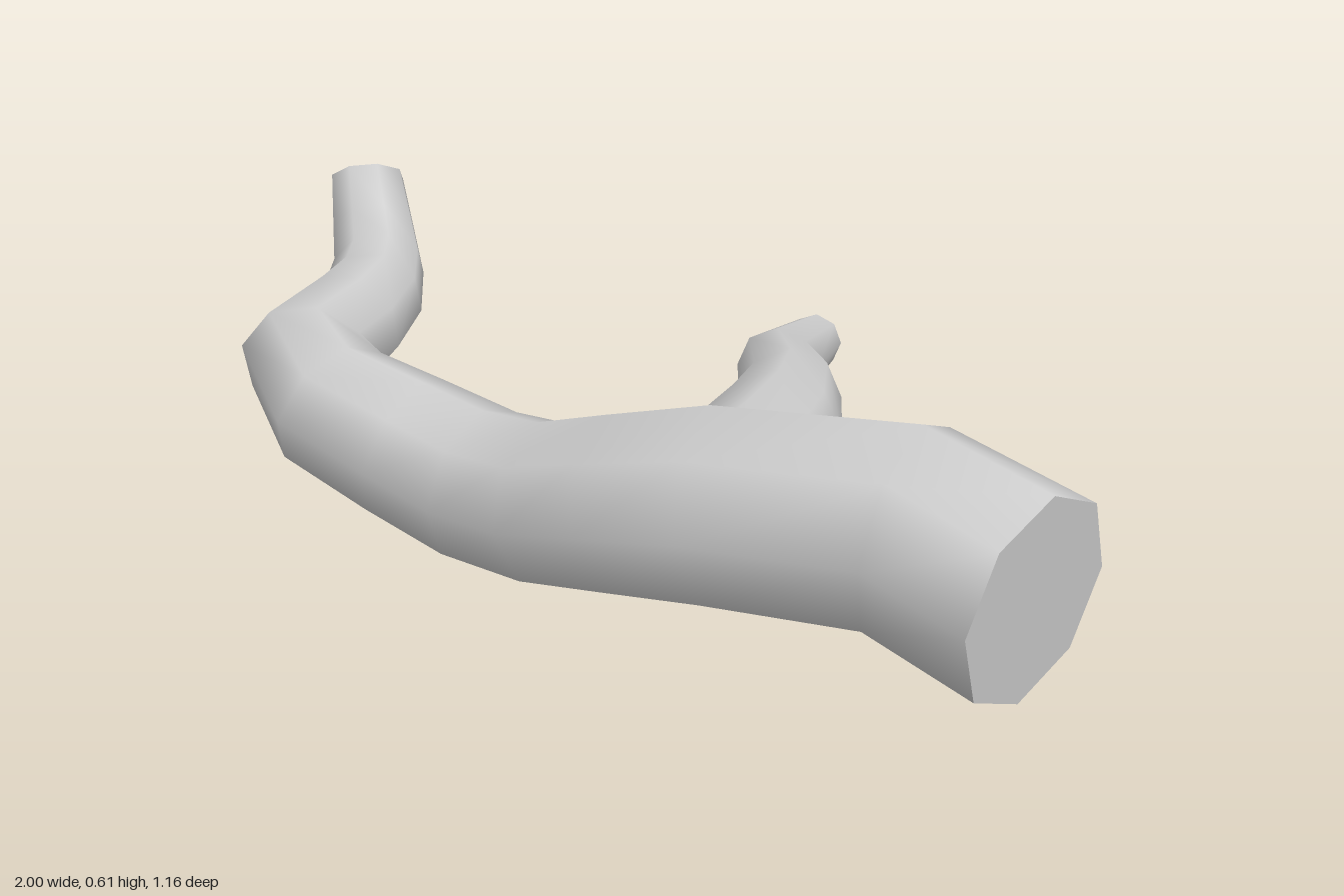
import * as THREE from 'three';
import { mergeGeometries } from 'three/addons/utils/BufferGeometryUtils.js';

const SIDES = 8;

// Skins stations [x, y, z, radius] with octagonal rings; the end tangents may be given.
// tipInset moves the centre of the last cap inwards, making a hollow tip.
function limb(stations, startDir, endDir, tipInset = 0) {
  const last = stations.length - 1;
  const centres = stations.map(([x, y, z]) => new THREE.Vector3(x, y, z));
  const step = (i) => centres[i + 1].clone().sub(centres[i]).normalize();
  const up = new THREE.Vector3(0, 1, 0);
  let endTangent;

  const rings = centres.map((c, i) => {
    let t;
    if (i === 0) t = startDir.clone();
    else if (i === last) t = endDir.clone();
    else t = step(i - 1).add(step(i));
    t.normalize();
    endTangent = t;
    // carry the ring's "up" along the path without twisting
    up.addScaledVector(t, -up.dot(t)).normalize();
    const side = t.clone().cross(up);
    return Array.from({ length: SIDES }, (_, j) => {
      const a = (j / SIDES) * Math.PI * 2;
      return c.clone()
        .addScaledVector(up, stations[i][3] * Math.cos(a))
        .addScaledVector(side, stations[i][3] * Math.sin(a));
    });
  });

  // bark: shared vertices for smooth normals
  const index = [];
  for (let i = 0; i < last; i++) {
    for (let j = 0; j < SIDES; j++) {
      const k = (j + 1) % SIDES;
      const a = i * SIDES + j, b = i * SIDES + k;
      index.push(a, b, a + SIDES, b, b + SIDES, a + SIDES);
    }
  }
  const bark = new THREE.BufferGeometry().setFromPoints(rings.flat());
  bark.setIndex(index);
  bark.computeVertexNormals();

  // cut ends: separate vertices for a hard rim
  const fan = [];
  const tip = centres[last].clone().addScaledVector(endTangent, -tipInset);
  for (let j = 0; j < SIDES; j++) {
    const k = (j + 1) % SIDES;
    fan.push(centres[0], rings[0][k], rings[0][j], tip, rings[last][j], rings[last][k]);
  }
  const cuts = new THREE.BufferGeometry().setFromPoints(fan);
  cuts.computeVertexNormals();
  return mergeGeometries([bark.toNonIndexed(), cuts]);
}

export function createModel() {
  const group = new THREE.Group();
  group.name = 'branch';
  const material = new THREE.MeshStandardMaterial({ color: 0xcccccc });
  const add = (name, geometry) => {
    const mesh = new THREE.Mesh(geometry, material);
    mesh.name = name;
    group.add(mesh);
  };

  // main limb, from the thick sawn end to the upturned thin end
  add('mainLimb', limb([
    [0.975, 0.205, 0.105, 0.203],
    [0.74, 0.29, 0.165, 0.2],
    [0.4, 0.262, 0.26, 0.192],
    [0.2, 0.222, 0.31, 0.175],
    [0.02, 0.18, 0.332, 0.162],
    [-0.16, 0.175, 0.348, 0.157],
    [-0.33, 0.22, 0.388, 0.15],
    [-0.48, 0.28, 0.445, 0.14],
    [-0.62, 0.33, 0.4, 0.13],
    [-0.675, 0.355, 0.24, 0.115],
    [-0.74, 0.375, 0.12, 0.106],
    [-0.81, 0.41, 0.045, 0.098],
    [-0.885, 0.48, -0.005, 0.09],
    [-0.935, 0.57, -0.035, 0.08],
  ], new THREE.Vector3(-1, 0.125, 0.02), new THREE.Vector3(-0.45, 0.8, -0.35)));

  // side shoot growing backwards, with a broken hollow tip
  add('sideShoot', limb([
    [0.37, 0.255, 0.24, 0.15],
    [0.31, 0.255, 0.1, 0.142],
    [0.215, 0.26, -0.1, 0.126],
    [0.11, 0.262, -0.255, 0.104],
    [-0.025, 0.265, -0.37, 0.084],
    [-0.08, 0.265, -0.56, 0.057],
  ], new THREE.Vector3(-0.3, 0, -1), new THREE.Vector3(-0.35, 0, -1), 0.06));

  return group;
}
